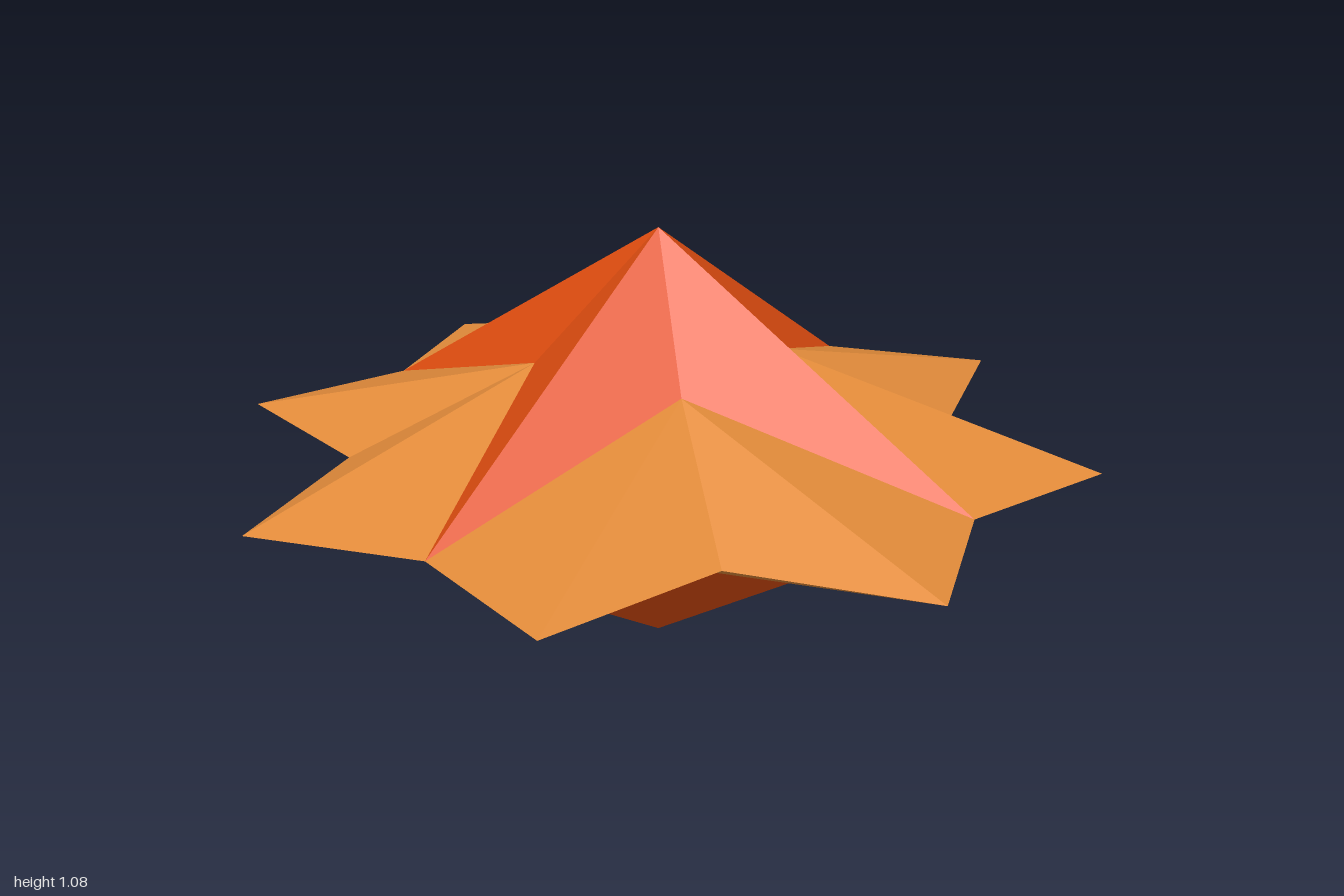
import * as THREE from 'three';

const MID = 0.541;    // height of the flat outline, half the total height
const TIP = 0.864;    // reach of the four inner star points
const VALLEY = 0.216; // offset of the inner star's notches on all axes

// Corners of one quadrant, relative to the centre
const apex = [0, MID, 0];
const notch = [VALLEY, VALLEY, VALLEY];
const outline = [[TIP, 0, 0], [1, 0, 0.414], [0.541, 0, 0.541], [0.414, 0, 1], [0, 0, TIP]];

// Fan of flat triangles around a hub; a negative side flips it to the underside
function fan(hub, rim, side) {
  const points = [];
  for (let i = 0; i < rim.length - 1; i++) {
    const corners = side > 0 ? [hub, rim[i + 1], rim[i]] : [hub, rim[i], rim[i + 1]];
    for (const [x, y, z] of corners) points.push(x, y * side, z);
  }
  const geometry = new THREE.BufferGeometry();
  geometry.setAttribute('position', new THREE.Float32BufferAttribute(points, 3));
  geometry.computeVertexNormals();
  return geometry;
}

export function createModel() {
  const orange = new THREE.MeshStandardMaterial({ name: 'deepOrange', color: 0xe04d10 });
  const amber = new THREE.MeshStandardMaterial({ name: 'amber', color: 0xe28b3a });
  const model = new THREE.Group();
  model.name = 'facetedStar';

  for (const side of [1, -1]) {
    const half = new THREE.Group();
    half.name = side > 0 ? 'upperHalf' : 'lowerHalf';
    half.position.y = MID;

    // Four-pointed star pyramid facets and the eight-pointed collar around them
    const starFacets = fan(apex, [outline[0], notch, outline[4]], side);
    const collarFacets = fan(notch, outline, side);
    for (let q = 0; q < 4; q++) {
      const star = new THREE.Mesh(starFacets, orange);
      star.name = 'innerStar';
      const collar = new THREE.Mesh(collarFacets, amber);
      collar.name = 'outerCollar';
      star.rotation.y = collar.rotation.y = q * Math.PI / 2;
      half.add(star, collar);
    }
    model.add(half);
  }
  return model;
}
